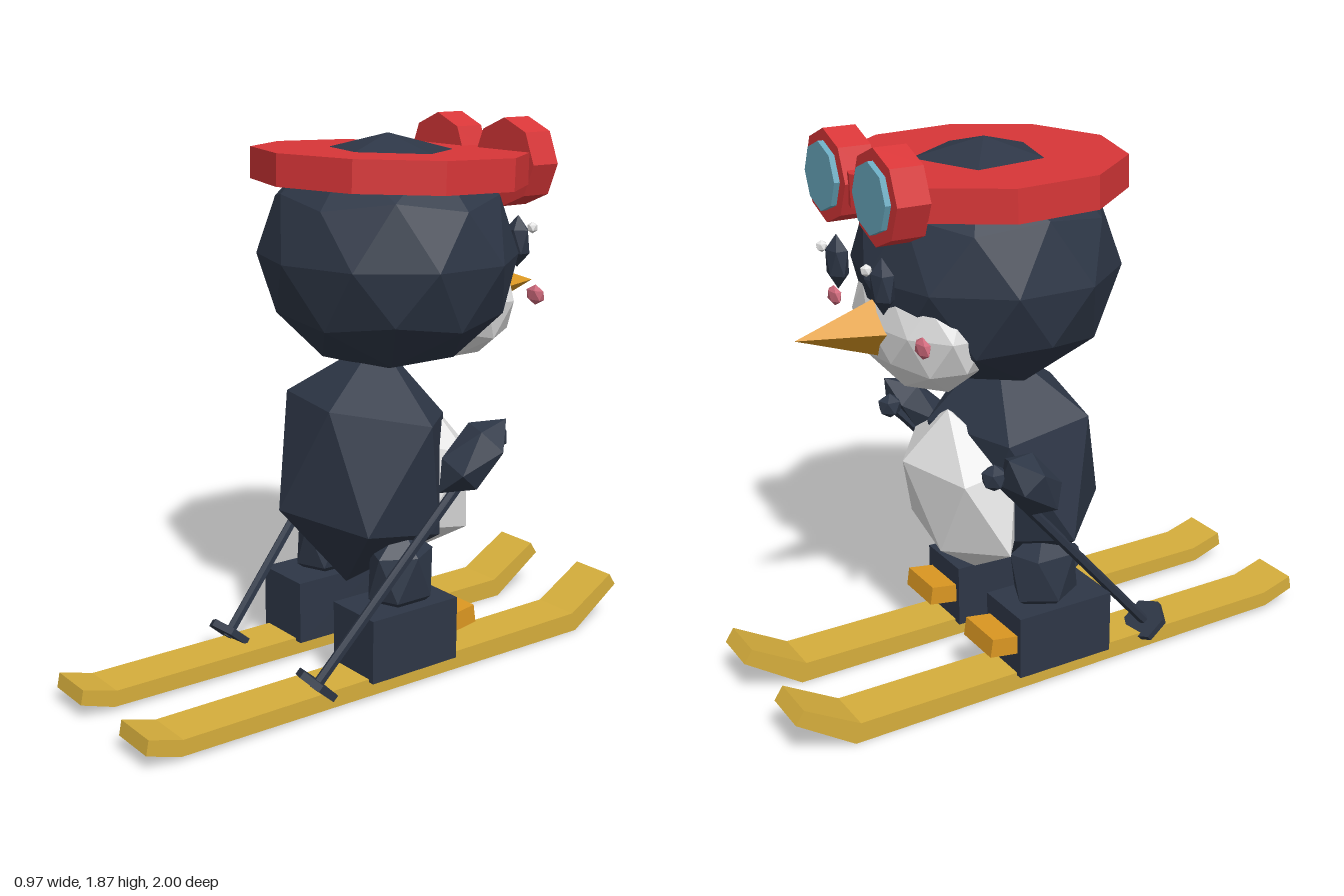
import * as THREE from 'three';

const mat = (name, color) => {
  const m = new THREE.MeshStandardMaterial({ color, flatShading: true });
  m.name = name;
  return m;
};

export function createModel() {
  const root = new THREE.Group();
  root.name = 'skiingPenguin';
  const navy = mat('navy', 0x2e3747);
  const white = mat('white', 0xe6e6e6);
  const red = mat('red', 0xd83638);
  const gold = mat('gold', 0xd6ae3c);
  const orange = mat('orange', 0xdc9822);
  const lensBlue = mat('lensBlue', 0x6aaac0);
  const pink = mat('pink', 0xcf6a7c);
  const UP = new THREE.Vector3(0, 1, 0);

  const add = (name, geometry, material, pos = [0, 0, 0], tilt = 0) => {
    const mesh = new THREE.Mesh(geometry, material);
    mesh.name = name;
    mesh.position.set(...pos);
    mesh.rotation.x = tilt;
    root.add(mesh);
    return mesh;
  };
  // Faceted ball with a corner at the top and one of the upper ring at +x
  const ball = (name, material, pos, radii, detail = 0, tilt = 0) => {
    const g = new THREE.IcosahedronGeometry(1, detail);
    g.rotateZ(Math.atan(2 / (1 + Math.sqrt(5)))).rotateY(Math.PI).scale(...radii);
    return add(name, g, material, pos, tilt);
  };

  // Body and belly lean forward, towards -z
  const lean = -0.157;
  ball('body', navy, [0, 0.72, -0.034], [0.38, 0.43, 0.29], 0, lean);
  ball('belly', white, [0, 0.64, -0.238], [0.32, 0.305, 0.182], 0, lean);

  // Head, face and beak
  ball('head', navy, [0, 1.43, -0.14], [0.46, 0.4, 0.43], 1);
  ball('face', white, [0, 1.28, -0.375], [0.33, 0.24, 0.185], 1);
  const beak = new THREE.ConeGeometry(0.1, 0.29, 4).rotateX(-Math.PI / 2);
  add('beak', beak, orange, [0, 1.27, -0.665]);

  // Hat band
  const band = new THREE.CylinderGeometry(1, 1, 0.105, 10).scale(0.48, 1, 0.455);
  add('hatBand', band, red, [0, 1.722, -0.15], -0.025);

  // Ski side profile: x is the length (front is negative), y is the height
  const profile = [
    [0.88, 0.015], [1, 0.055], [0.99, 0.105], [0.87, 0.07], [-0.78, 0.07],
    [-0.97, 0.18], [-1, 0.135], [-0.8, 0],
  ];
  const skiShape = new THREE.Shape(profile.map(([z, y]) => new THREE.Vector2(z, y)));
  const skiGeo = new THREE.ExtrudeGeometry(skiShape, { depth: 0.17, bevelEnabled: false });
  skiGeo.translate(0, 0, -0.085).rotateY(-Math.PI / 2);

  for (const s of [-1, 1]) {
    const side = s > 0 ? 'left' : 'right';

    // Goggles
    const rim = new THREE.CylinderGeometry(0.148, 0.148, 0.11, 8).rotateX(Math.PI / 2);
    add(side + 'GoggleRim', rim, red, [s * 0.172, 1.725, -0.553]);
    const lens = new THREE.CylinderGeometry(0.11, 0.11, 0.02, 8).rotateX(Math.PI / 2);
    add(side + 'GoggleLens', lens, lensBlue, [s * 0.172, 1.725, -0.617]);

    // Eyes with highlights, and cheeks
    ball(side + 'Eye', navy, [s * 0.16, 1.45, -0.585], [0.055, 0.09, 0.038]);
    ball(side + 'EyeHighlight', white, [s * 0.16 + 0.035, 1.497, -0.62], [0.02, 0.02, 0.02]);
    ball(side + 'Cheek', pink, [s * 0.31, 1.29, -0.533], [0.044, 0.035, 0.02]);

    // Wing and hand
    const wing = ball(side + 'Wing', navy, [s * 0.385, 0.8, -0.2], [0.1, 0.165, 0.085]);
    wing.quaternion.setFromUnitVectors(UP, new THREE.Vector3(s * 0.25, 0.72, -0.65).normalize());
    ball(side + 'Hand', navy, [s * 0.36, 0.84, -0.32], [0.045, 0.045, 0.045]);

    // Ski pole with basket
    const top = new THREE.Vector3(s * 0.36, 0.86, -0.33);
    const tip = new THREE.Vector3(s * 0.265, 0.08, 0.36);
    const dir = top.clone().sub(tip);
    const middle = top.clone().add(tip).multiplyScalar(0.5);
    const shaft = new THREE.CylinderGeometry(0.018, 0.018, dir.length(), 6);
    const pole = add(side + 'SkiPole', shaft, navy, middle.toArray());
    pole.quaternion.setFromUnitVectors(UP, dir.normalize());
    const disc = new THREE.CylinderGeometry(0.08, 0.08, 0.025, 6);
    const basket = add(side + 'PoleBasket', disc, navy, [s * 0.266, 0.093, 0.35]);
    basket.quaternion.copy(pole.quaternion);

    // Leg, boot, toes and ski
    ball(side + 'Leg', navy, [s * 0.21, 0.375, -0.04], [0.105, 0.17, 0.135]);
    add(side + 'Boot', new THREE.BoxGeometry(0.22, 0.222, 0.36), navy, [s * 0.21, 0.171, -0.02]);
    add(side + 'Toes', new THREE.BoxGeometry(0.18, 0.065, 0.2), orange, [s * 0.21, 0.178, -0.2], 0.15);
    add(side + 'Ski', skiGeo, gold, [s * 0.213, 0, 0]);
  }
  return root;
}
